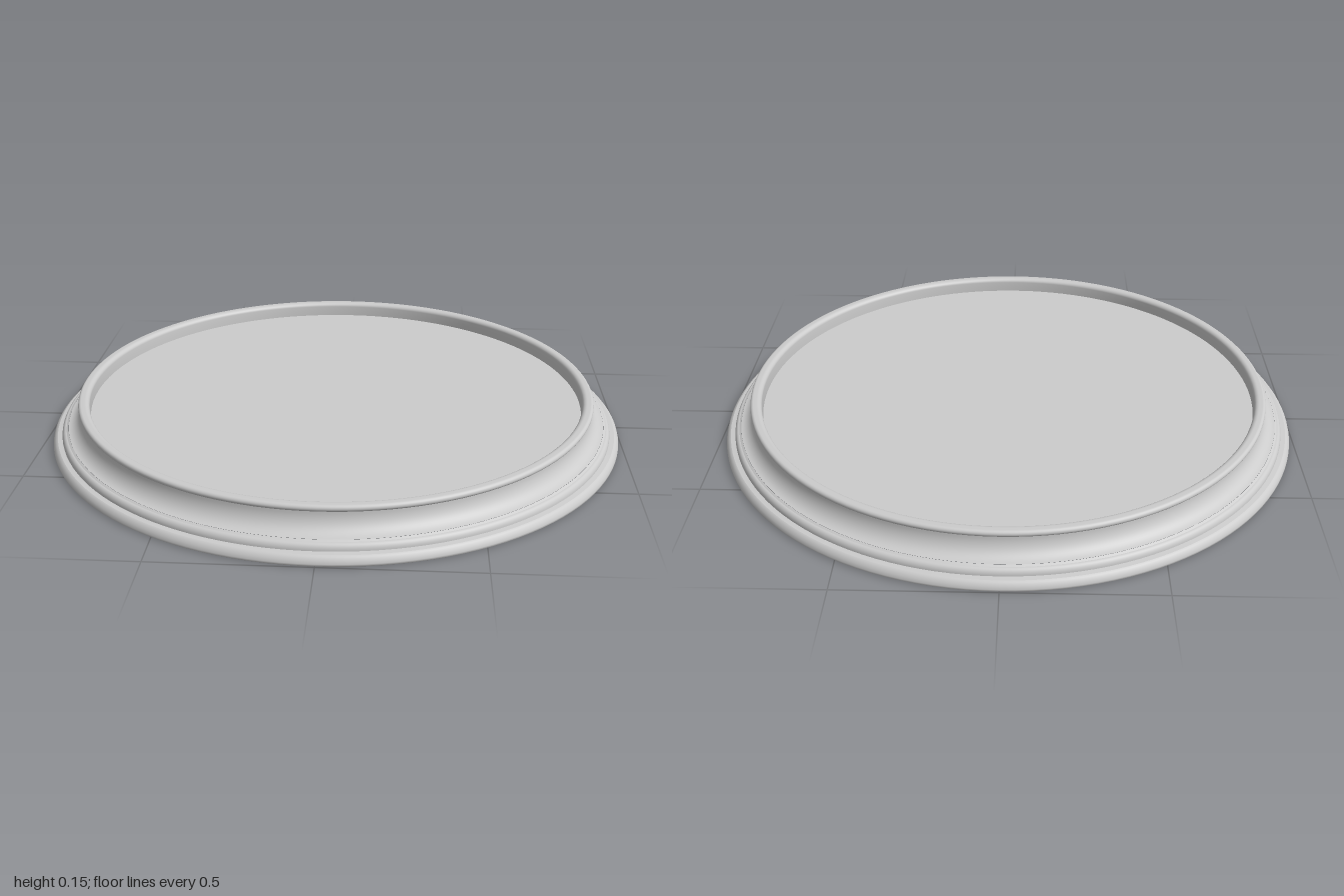
import * as THREE from 'three';

const SEGMENTS = 128;

export function createModel() {
  const group = new THREE.Group();
  const material = new THREE.MeshStandardMaterial({ color: 0xcccccc });

  // Each profile runs from the underside, up the outside and in to the centre.
  const turn = (name, points) => {
    const profile = points.map(([r, y]) => new THREE.Vector2(r, y));
    const mesh = new THREE.Mesh(new THREE.LatheGeometry(profile, SEGMENTS), material);
    mesh.name = name;
    group.add(mesh);
  };

  // Points on an elliptical arc, angles in degrees
  const arc = (cx, cy, rx, ry, from, to, steps = 8) =>
    Array.from({ length: steps + 1 }, (_, i) => {
      const a = THREE.MathUtils.degToRad(from + ((to - from) * i) / steps);
      return [cx + rx * Math.cos(a), cy + ry * Math.sin(a)];
    });

  // Flat underside
  turn('underside', [[0, 0], [0.995, 0]]);

  // Foot moulding: rounded lower edge, then a flat ledge
  turn('footEdge', [[0.995, 0], [1, 0.004], [1, 0.01], [0.997, 0.02], [0.99, 0.029], [0.984, 0.032]]);
  turn('footLedge', [[0.984, 0.032], [0.968, 0.034]]);

  // Small bead above the foot
  turn('lowerBead', arc(0.952, 0.034, 0.016, 0.022, 0, 90));
  turn('beadLedge', [[0.952, 0.056], [0.945, 0.06]]);

  // Concave side sweeping up to the rim
  turn('coveSide', arc(0.95, 0.125, 0.052, 0.065, 264, 180, 12));

  // Rounded rim, rolled over to the inside
  turn('rim', [
    [0.898, 0.125],
    ...arc(0.895, 0.136, 0.011, 0.011, -50, 90),
    ...arc(0.884, 0.132, 0.017, 0.015, 90, 180),
    [0.866, 0.115],
    [0.866, 0.095],
  ]);

  // Recessed floor
  turn('floor', [[0.866, 0.095], [0, 0.095]]);

  return group;
}
